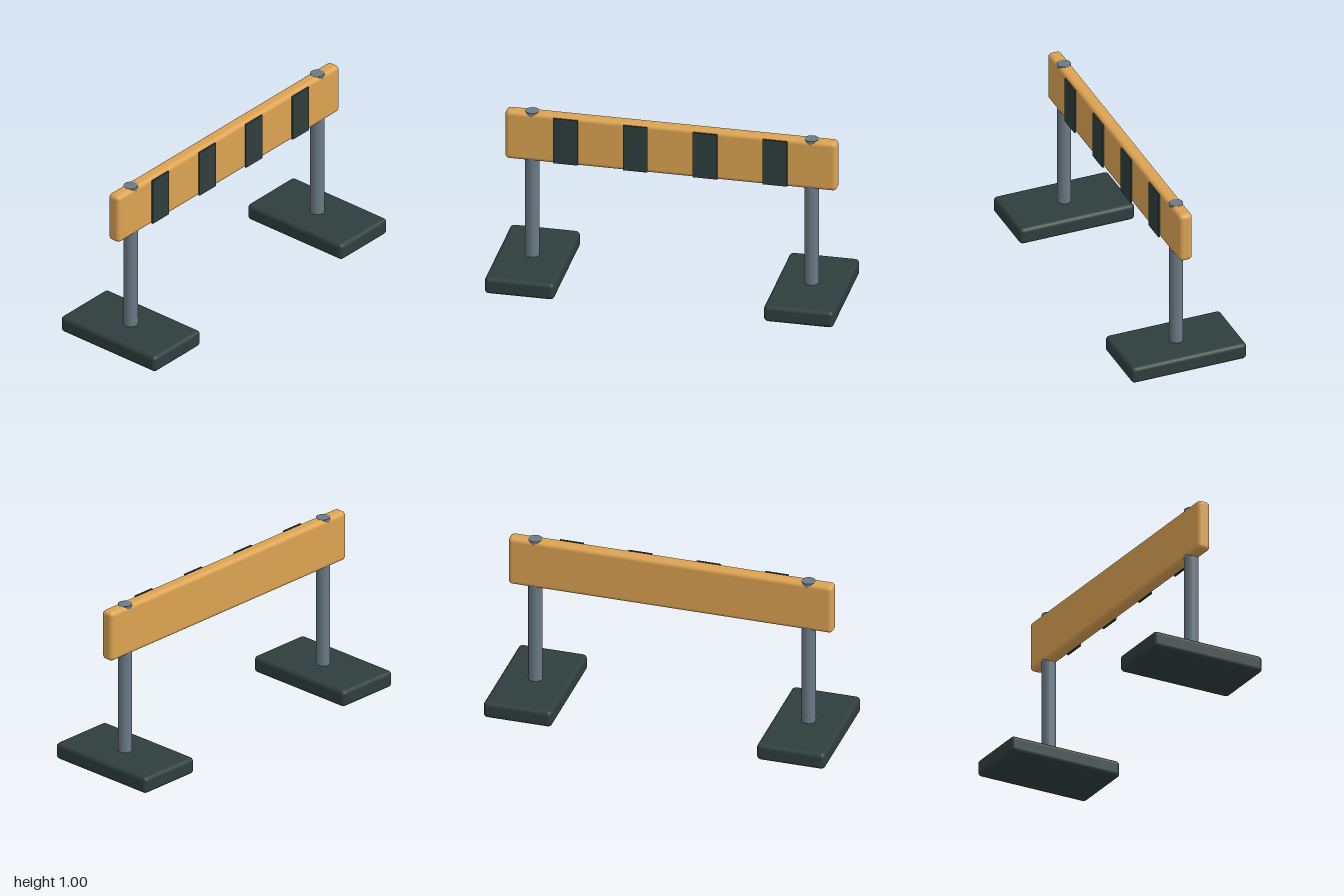
import * as THREE from 'three';
import { RoundedBoxGeometry } from 'three/addons/geometries/RoundedBoxGeometry.js';

export function createModel() {
  const model = new THREE.Group();
  model.name = 'barrier';

  const material = (name, color) => {
    const m = new THREE.MeshStandardMaterial({ color });
    m.name = name;
    return m;
  };
  const orange = material('orange', 0xdca352);
  const dark = material('darkRubber', 0x2f3e3d);
  const steel = material('steel', 0x6b7a85);

  const add = (name, geometry, mat, x, y, z) => {
    const mesh = new THREE.Mesh(geometry, mat);
    mesh.name = name;
    mesh.position.set(x, y, z);
    model.add(mesh);
  };

  // Feet and posts, one pair per side; post tops sit flush with the board
  const footGeometry = new RoundedBoxGeometry(0.4, 0.1, 0.7, 4, 0.025);
  const postGeometry = new THREE.CylinderGeometry(0.04, 0.04, 0.921, 24);
  for (const [side, s] of [['left', 1], ['right', -1]]) {
    add(side + 'Foot', footGeometry, dark, s * 0.8, 0.05, 0);
    add(side + 'Post', postGeometry, steel, s * 0.8, 0.5405, 0);
  }

  // Crossboard
  add('board', new RoundedBoxGeometry(1.9, 0.3, 0.08, 4, 0.025), orange, 0, 0.85, 0);

  // Dark stripes on the front of the board
  const stripeGeometry = new THREE.BoxGeometry(0.14, 0.28, 0.009);
  [-0.6, -0.2, 0.2, 0.6].forEach((x, i) => {
    add('stripe' + (i + 1), stripeGeometry, dark, x, 0.85, 0.0475);
  });

  return model;
}
